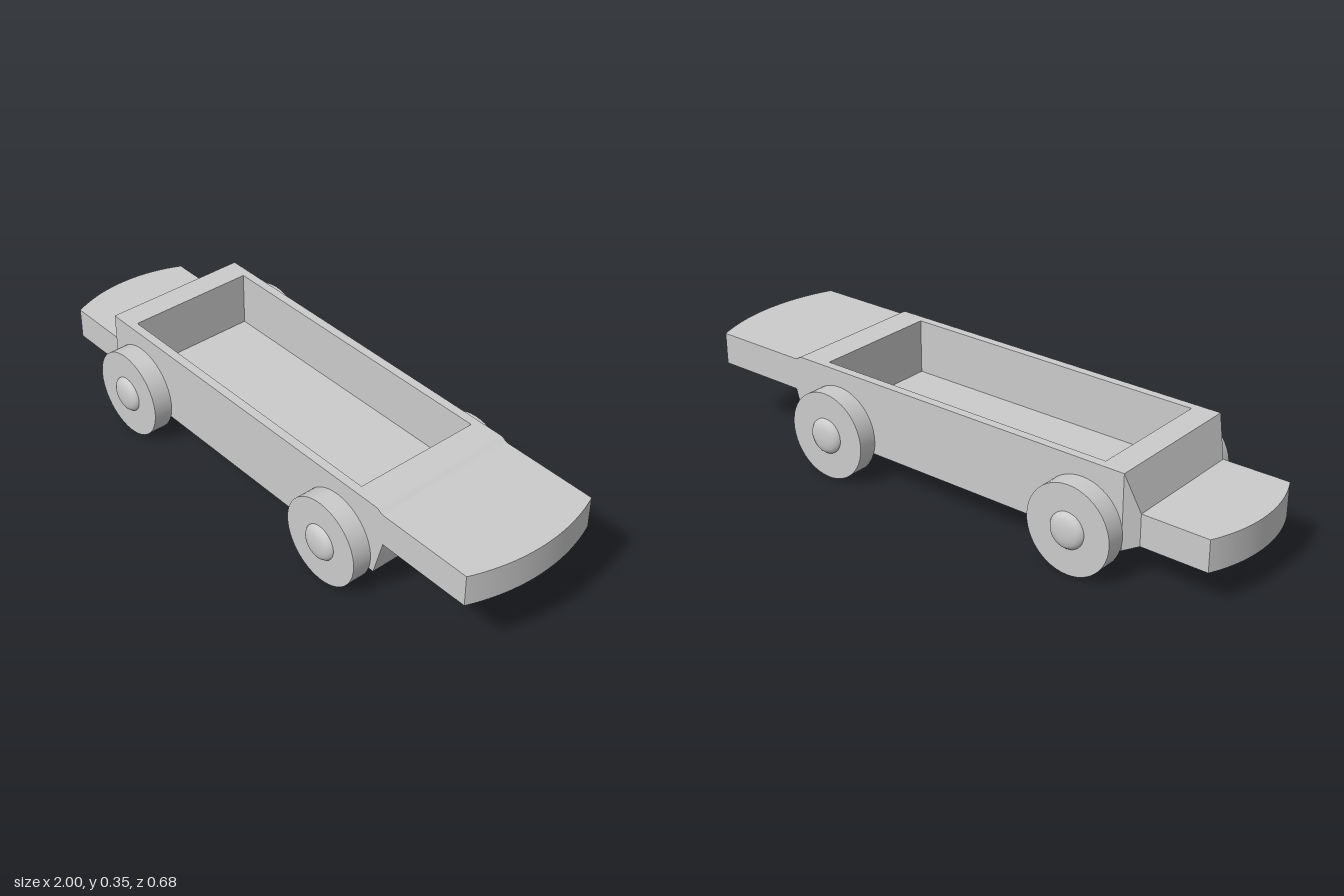
import * as THREE from 'three';
import { toCreasedNormals } from 'three/addons/utils/BufferGeometryUtils.js';

const material = new THREE.MeshStandardMaterial({ color: 0xcccccc });

function add(parent, name, geometry) {
  const mesh = new THREE.Mesh(geometry, material);
  mesh.name = name;
  parent.add(mesh);
  return mesh;
}

// Side profile (x, y) extruded along z from z0 to z1
function slab(points, z0, z1) {
  const shape = new THREE.Shape(points.map(([x, y]) => new THREE.Vector2(x, y)));
  const g = new THREE.ExtrudeGeometry(shape, { depth: z1 - z0, bevelEnabled: false });
  return toCreasedNormals(g.translate(0, 0, z0), 0.5);
}

// Flat platform with a bowed outer end, running from x = start to x = 1
function platform(start, halfWidth, y0, y1) {
  const bow = 0.05;
  const radius = (halfWidth ** 2 + bow ** 2) / (2 * bow);
  const angle = Math.asin(halfWidth / radius);
  const shape = new THREE.Shape();
  shape.moveTo(start, -halfWidth);
  shape.lineTo(1 - bow, -halfWidth);
  shape.absarc(1 - radius, 0, radius, -angle, angle, false);
  shape.lineTo(start, halfWidth);
  shape.closePath();
  const g = new THREE.ExtrudeGeometry(shape, { depth: y1 - y0, bevelEnabled: false, curveSegments: 24 });
  return toCreasedNormals(g.rotateX(-Math.PI / 2).translate(0, y0, 0), 0.5);
}

// Tapered end block: narrows from the body end to the low platform
function taperedEnd() {
  const g = new THREE.BoxGeometry(1, 1, 1).toNonIndexed();
  const p = g.attributes.position;
  for (let i = 0; i < p.count; i++) {
    const inner = p.getX(i) > 0, top = p.getY(i) > 0;
    const y = inner ? (top ? 0.355 : 0.105) : (top ? 0.225 : 0.118);
    p.setXYZ(i, inner ? -0.68 : -0.72, y, Math.sign(p.getZ(i)) * (inner ? 0.252 : 0.217));
  }
  g.computeVertexNormals();
  return g;
}

export function createModel() {
  const model = new THREE.Group();
  model.name = 'toyWagon';

  // Body: two side walls and a middle with the open tray cut into it
  const body = new THREE.Group();
  body.name = 'body';
  model.add(body);
  const bottomAndEnd = [[-0.68, 0.105], [0.585, 0.105], [0.622, 0.235], [0.622, 0.343], [0.61, 0.346], [0.597, 0.354], [0.585, 0.355]];
  const tray = [[0.495, 0.355], [0.495, 0.167], [-0.595, 0.167], [-0.595, 0.355]];
  const corner = [[-0.68, 0.355]];
  add(body, 'leftoverMiddleWithTray', slab([...bottomAndEnd, ...tray, ...corner], -0.222, 0.222)).name = 'trayMiddle';
  add(body, 'frontWall', slab([...bottomAndEnd, ...corner], 0.222, 0.252));
  add(body, 'backWall', slab([...bottomAndEnd, ...corner], -0.252, -0.222));
  add(body, 'taperedEnd', taperedEnd());

  // End platforms
  add(model, 'highPlatform', platform(0.622, 0.252, 0.235, 0.343));
  add(model, 'lowPlatform', platform(0.72, 0.217, 0.118, 0.225).rotateY(Math.PI));

  // Wheels with domed hub caps
  const wheelGeometry = toCreasedNormals(
    new THREE.CylinderGeometry(0.148, 0.148, 0.066, 48).rotateX(Math.PI / 2), 0.5);
  const capProfile = [[0.06, 0], [0.06, 0.003], [0.054, 0.011], [0.044, 0.017], [0.03, 0.0205], [0.015, 0.022], [0, 0.0225]]
    .map(([r, h]) => new THREE.Vector2(r, h));
  const capGeometry = new THREE.LatheGeometry(capProfile, 32).rotateX(Math.PI / 2);
  for (const x of [-0.535, 0.425]) {
    for (const side of [1, -1]) {
      const wheel = new THREE.Group();
      wheel.name = (side > 0 ? 'front' : 'back') + (x > 0 ? 'Left' : 'Right') + 'Wheel';
      wheel.position.set(x, 0.15, side * 0.285);
      if (side < 0) wheel.rotation.y = Math.PI;
      add(wheel, 'tyre', wheelGeometry);
      add(wheel, 'hubCap', capGeometry).position.z = 0.033;
      model.add(wheel);
    }
  }
  return model;
}
